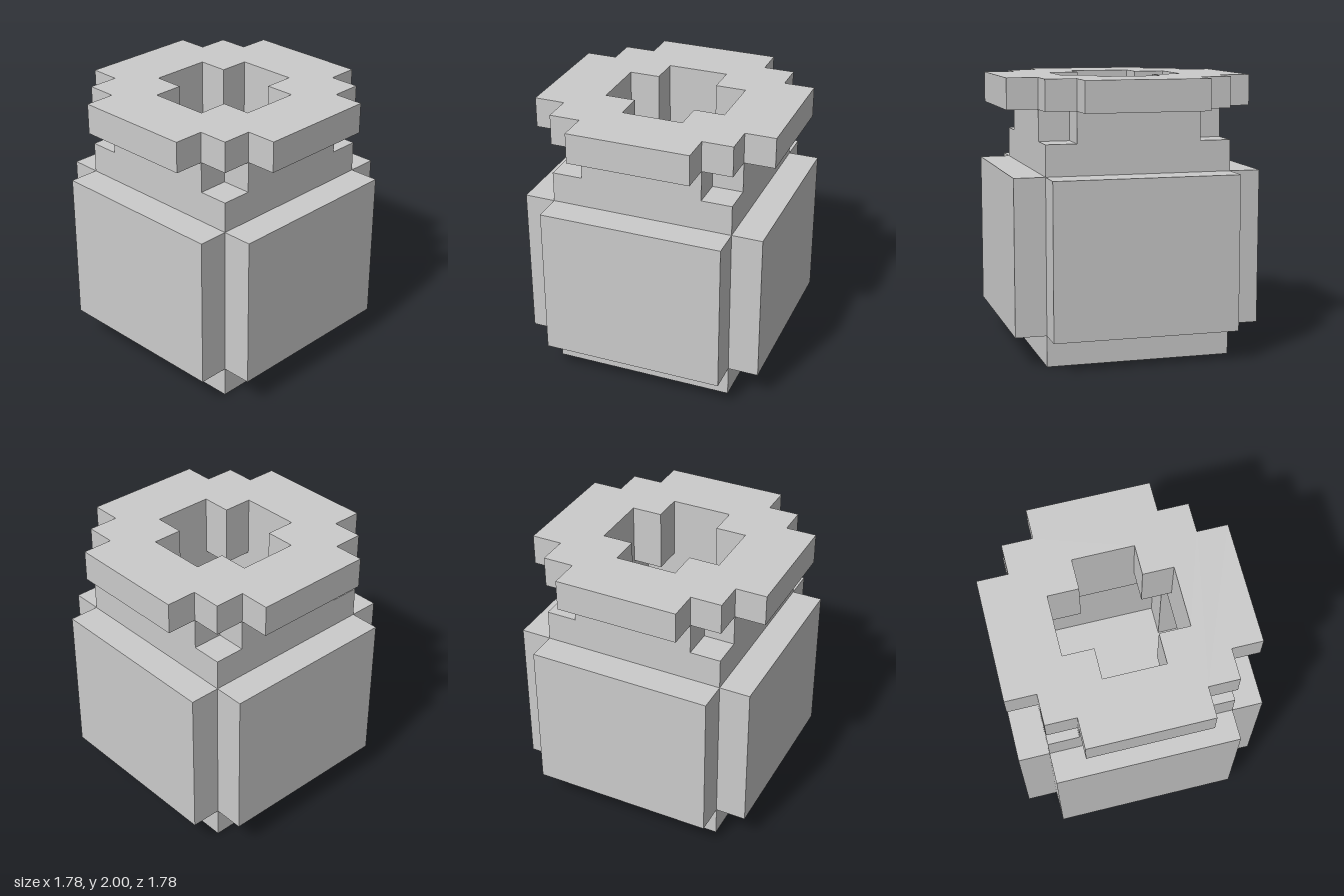
import * as THREE from 'three';

const U = 2 / 9; // one block

// Repeats the corner steps of one quadrant around all four corners
function ring(steps) {
  const points = [];
  for (let q = 0; q < 4; q++) {
    for (const [a, b] of steps) {
      let x = a, y = b;
      for (let i = 0; i < q; i++) [x, y] = [-y, x];
      points.push(new THREE.Vector2(x * U, y * U));
    }
  }
  return points;
}

// A cross-shaped outline: a square of half-width r with its corner blocks removed
const cross = (r) => [[r, r - 1], [r - 1, r - 1], [r - 1, r]];
const square = (r) => [[r, r]];

export function createModel() {
  const group = new THREE.Group();
  const material = new THREE.MeshStandardMaterial({ color: 0xcccccc, flatShading: true });

  // One horizontal layer of the jar, from block row y0 to y1
  function layer(name, y0, y1, outline, hole) {
    const shape = new THREE.Shape(ring(outline));
    if (hole) shape.holes.push(new THREE.Path(ring(hole)));
    const geometry = new THREE.ExtrudeGeometry(shape, { depth: (y1 - y0) * U, bevelEnabled: false });
    geometry.rotateX(-Math.PI / 2);
    const mesh = new THREE.Mesh(geometry, material);
    mesh.name = name;
    mesh.position.y = y0 * U;
    group.add(mesh);
  }

  layer('base', 0, 1, square(3));
  layer('body', 1, 6, cross(4), cross(3));
  layer('shoulder', 6, 7, square(3), square(2));
  layer('neck', 7, 8, cross(3), cross(2));
  layer('rim', 8, 9, [[4, 2], [3, 2], [3, 3], [2, 3], [2, 4]], cross(2));

  return group;
}
